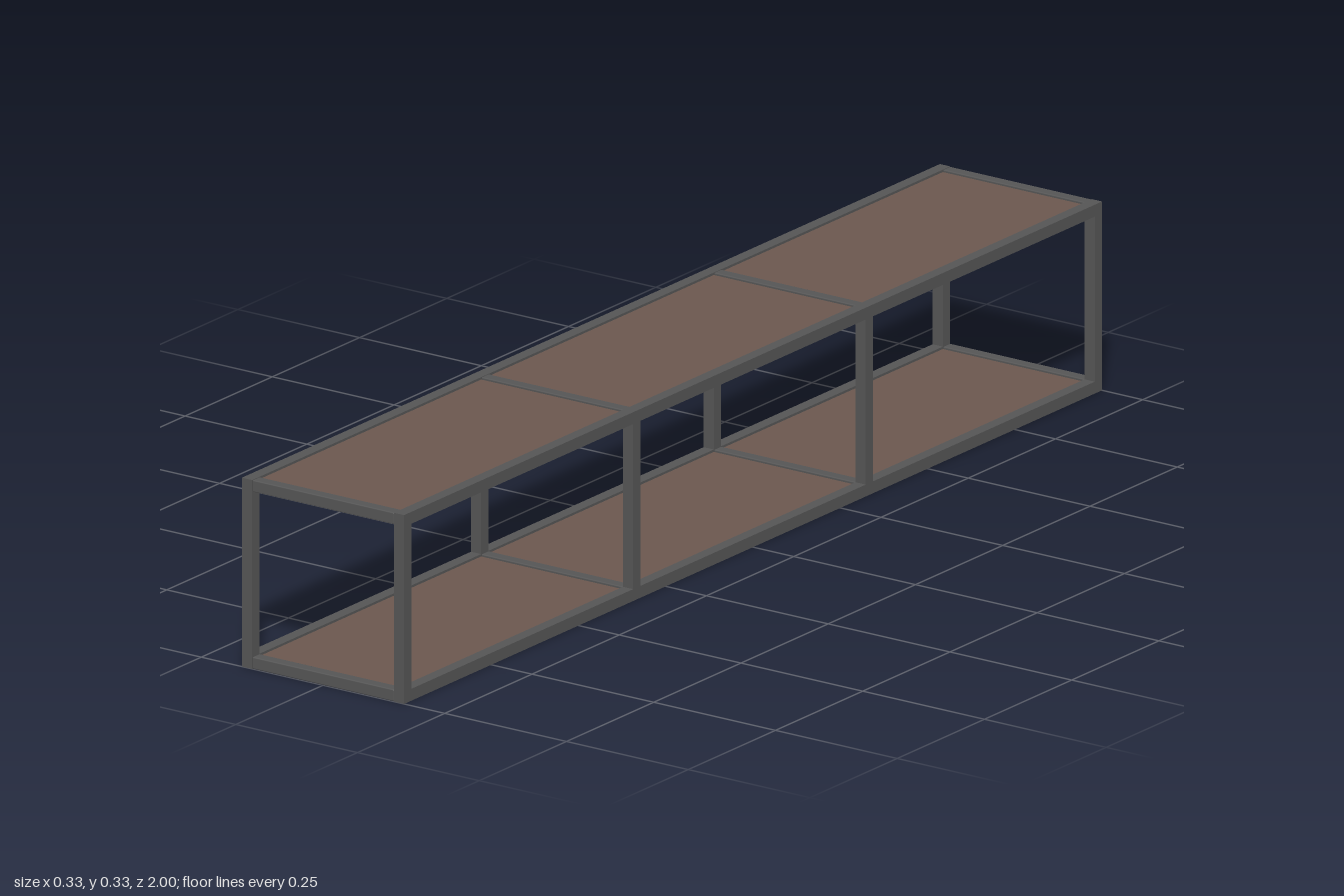
import * as THREE from 'three';
import { RoundedBoxGeometry } from 'three/addons/geometries/RoundedBoxGeometry.js';

const W = 0.333, H = 0.333, L = 2, T = 0.021; // overall size and bar thickness

export function createModel() {
  const group = new THREE.Group();
  const steel = new THREE.MeshStandardMaterial({ color: 0x555555 });
  const wood = new THREE.MeshStandardMaterial({ color: 0x6b574e });

  const add = (name, geometry, material, x, y, z) => {
    const mesh = new THREE.Mesh(geometry, material);
    mesh.name = name;
    mesh.position.set(x, y, z);
    group.add(mesh);
  };

  const inner = W - 2 * T;
  const end = (L - T) / 2;
  const stations = [-end, -1 / 3, 1 / 3, end];
  const levels = { lower: T / 2, upper: H - T / 2 };

  const cornerPost = new THREE.BoxGeometry(T, H, T);
  const middlePost = new THREE.BoxGeometry(T, H - 2 * T, T);
  const rail = new THREE.BoxGeometry(T, T, L - 2 * T);
  const crossbar = new RoundedBoxGeometry(inner, T, T, 1, 0.002);

  // Upright posts on both sides
  for (const x of [-(W - T) / 2, (W - T) / 2]) {
    stations.forEach((z, i) => {
      const corner = i === 0 || i === 3;
      add(corner ? 'cornerPost' : 'middlePost', corner ? cornerPost : middlePost, steel, x, H / 2, z);
    });
  }

  for (const [level, y] of Object.entries(levels)) {
    // Long rails and crossbars
    for (const x of [-(W - T) / 2, (W - T) / 2]) add(level + 'Rail', rail, steel, x, y, 0);
    for (const z of stations) add(level + 'Crossbar', crossbar, steel, 0, y, z);

    // Shelf panels set into each bay, slightly below the bar faces
    for (let i = 0; i < 3; i++) {
      const length = stations[i + 1] - stations[i] - T;
      const panel = new THREE.BoxGeometry(inner, T * 0.6, length);
      add(level + 'Panel', panel, wood, 0, y, (stations[i] + stations[i + 1]) / 2);
    }
  }
  return group;
}
